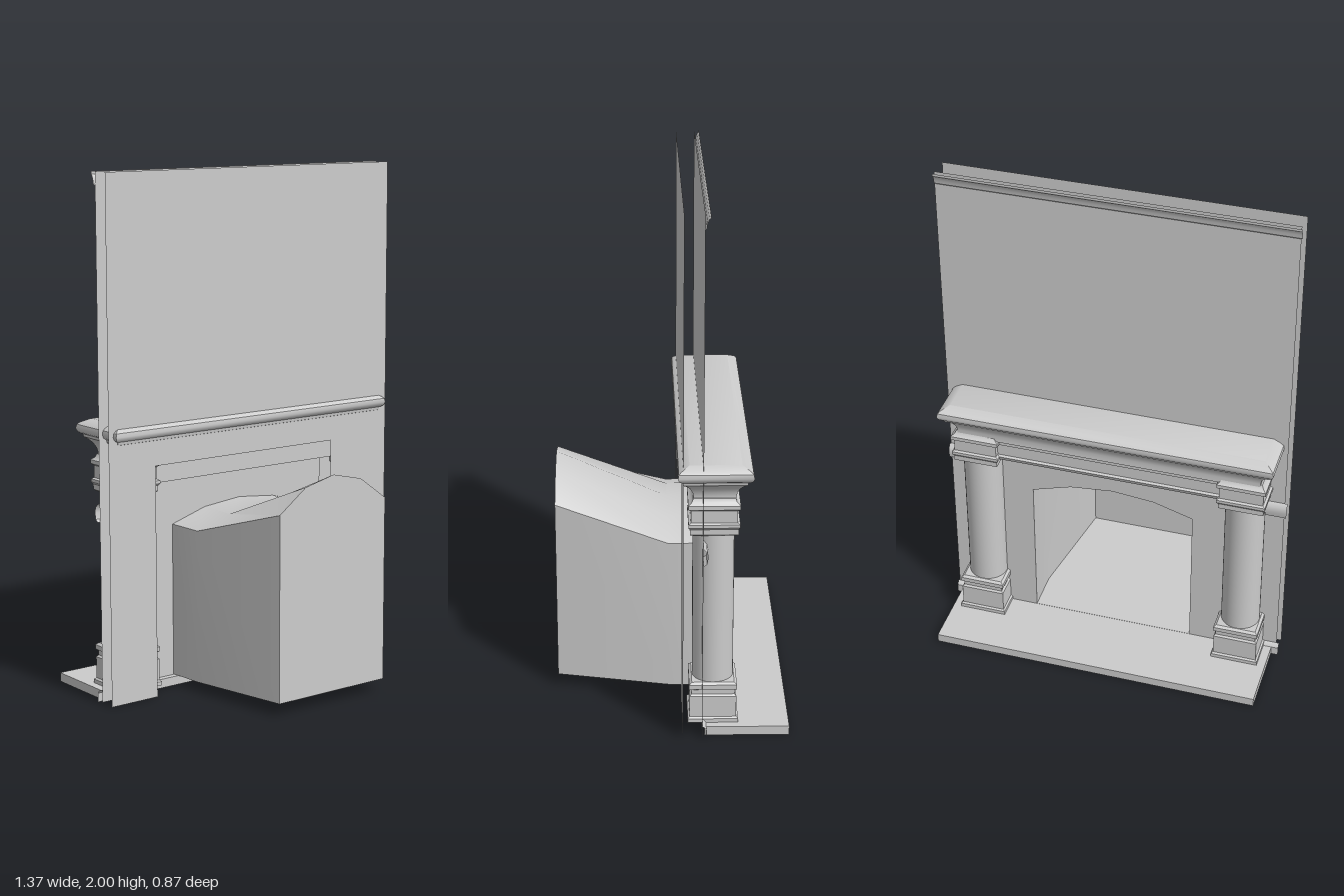
import * as THREE from 'three';
import { toCreasedNormals } from 'three/addons/utils/BufferGeometryUtils.js';

const mat = new THREE.MeshStandardMaterial({ color: 0xcccccc, side: THREE.DoubleSide });

// Rectangles stacked upwards, each level is [y, x0, x1, z0, z1], closed at both ends
function rectStack(levels) {
  const pos = [], index = [];
  for (const [y, x0, x1, z0, z1] of levels) pos.push(x0, y, z1, x1, y, z1, x1, y, z0, x0, y, z0);
  for (let i = 0; i < levels.length - 1; i++) {
    for (let k = 0; k < 4; k++) {
      const a = i * 4 + k, b = i * 4 + (k + 1) % 4;
      index.push(a, b, b + 4, a, b + 4, a + 4);
    }
  }
  const t = (levels.length - 1) * 4;
  index.push(0, 2, 1, 0, 3, 2, t, t + 1, t + 2, t, t + 2, t + 3);
  return creased(pos, index);
}

function creased(pos, index) {
  const g = new THREE.BufferGeometry();
  g.setAttribute('position', new THREE.Float32BufferAttribute(pos, 3));
  g.setIndex(index);
  return toCreasedNormals(g, 0.6);
}

// Square moulding around a centre: profile of [y, half width]
const squareMoulding = (profile, cx, cz) =>
  rectStack(profile.map(([y, r]) => [y, cx - r, cx + r, cz - r, cz + r]));

// Segmented arch outline, from the right foot over the crown to the left foot
function archOutline(x0, x1, floor, spring, crown) {
  const c = (x0 + x1) / 2, h = (x1 - x0) / 2, d = crown - spring;
  return [[x1, floor], [x1, spring], [c + h * 0.52, spring + d * 0.74], [c, crown],
    [c - h * 0.52, spring + d * 0.74], [x0, spring], [x0, floor]];
}

// Wall sheet with a doorway-like opening
function wallSheet(x0, x1) {
  const s = new THREE.Shape();
  [[x0, 0], [-0.47, 0], [-0.47, 0.9], [0.385, 0.9], [0.385, 0], [x1, 0], [x1, 2], [x0, 2]]
    .forEach(([x, y], i) => (i ? s.lineTo(x, y) : s.moveTo(x, y)));
  return new THREE.ShapeGeometry(s);
}

// Open strip of trim running along x; profile of [y, z]
function trimStrip(x0, x1, profile) {
  const pos = [], index = [];
  profile.forEach(([y, z], i) => {
    pos.push(x0, y, z, x1, y, z);
    const a = i * 2;
    if (i) index.push(a - 2, a, a - 1, a - 1, a, a + 1);
  });
  return creased(pos, index);
}

export function createModel() {
  const model = new THREE.Group();
  const add = (name, geometry, z = 0) => {
    const m = new THREE.Mesh(geometry, mat);
    m.name = name;
    m.position.z = z;
    model.add(m);
    return m;
  };

  // Two thin wall faces
  add('outerWall', wallSheet(-0.68, 0.675), -0.04);
  add('roomWall', wallSheet(-0.675, 0.68), -0.112);

  // Trim on the room side
  add('crownMoulding', trimStrip(-0.68, 0.68,
    [[1.95, -0.112], [1.955, -0.117], [1.97, -0.119], [1.985, -0.125], [1.99, -0.131], [2, -0.131]]));
  const rail = [[0.7, -0.112], [0.71, -0.125], [0.735, -0.13], [0.755, -0.126], [0.77, -0.112]];
  const skirting = [[0, -0.127], [0.035, -0.127], [0.045, -0.12], [0.05, -0.112]];
  for (const [a, b] of [[-0.685, -0.47], [0.47, 0.685]]) {
    add('chairRail', trimStrip(a, b, rail));
    add('skirtingBoard', trimStrip(a, b, skirting));
  }

  // Hearth slab
  add('hearth', rectStack([[0, -0.657, 0.657, -0.437, -0.12], [0.035, -0.657, 0.657, -0.437, -0.12]]));

  // Surround panel with arched opening
  const panel = new THREE.Shape([[-0.47, 0.035], [0.47, 0.035], [0.47, 0.84], [-0.47, 0.84]]
    .map(p => new THREE.Vector2(...p)));
  panel.holes.push(new THREE.Path(archOutline(-0.32, 0.33, 0.036, 0.637, 0.702)
    .map(p => new THREE.Vector2(...p))));
  add('surroundPanel', new THREE.ShapeGeometry(panel), -0.145);

  // Firebox: arched sections, level at the mouth and then rising and narrowing
  const sections = [
    [-0.145, archOutline(-0.32, 0.33, 0.036, 0.637, 0.702)],
    [0.01, archOutline(-0.315, 0.33, 0.04, 0.637, 0.698)],
    [0.437, archOutline(-0.255, 0.255, 0.05, 0.765, 0.885)],
  ];
  const pos = [], index = [], n = 7;
  sections.forEach(([z, pts], s) => {
    pts.forEach(([x, y]) => pos.push(x, y, z));
    if (!s) return;
    for (let k = 0; k < n; k++) {
      const a = (s - 1) * n + k, b = (s - 1) * n + (k + 1) % n;
      index.push(a, b + n, b, a, a + n, b + n);
    }
  });
  for (let k = 1; k < n - 1; k++) index.push(2 * n, 2 * n + k, 2 * n + k + 1);
  add('firebox', creased(pos, index));

  // Columns with plinths and capitals
  const cz = -0.153;
  for (const cx of [-0.53, 0.53]) {
    add('columnPlinth', squareMoulding([[0.035, 0.094], [0.05, 0.094], [0.056, 0.087], [0.14, 0.087],
      [0.147, 0.08], [0.165, 0.08], [0.17, 0.089], [0.188, 0.089], [0.196, 0.079]], cx, cz));
    const shaft = add('columnShaft', new THREE.CylinderGeometry(0.077, 0.077, 0.61, 32, 1, true), cz);
    shaft.position.set(cx, 0.495, cz);
    add('columnCapital', squareMoulding([[0.79, 0.078], [0.797, 0.088], [0.818, 0.088], [0.826, 0.094],
      [0.838, 0.094], [0.843, 0.085], [0.89, 0.085], [0.897, 0.095], [0.912, 0.095], [0.922, 0.082],
      [0.935, 0.077]], cx, cz));
  }

  // Lintel between the columns, set back from the capitals
  add('lintel', rectStack([[0.822, -0.112], [0.838, -0.118], [0.843, -0.108], [0.89, -0.108],
    [0.897, -0.118], [0.912, -0.118], [0.925, -0.105]]
    .map(([y, z]) => [y, -0.46, 0.46, z - 0.108, -0.09])));

  // Coved frieze flaring out to the shelf
  add('frieze', rectStack([[0.915, 0.079], [0.94, 0.077], [0.958, 0.081], [0.975, 0.09],
    [0.988, 0.102], [0.998, 0.116], [1.012, 0.118]]
    .map(([y, r]) => [y, -0.523 - r, 0.523 + r, -0.155 - r, -0.155 + r])));

  // Mantel shelf with rounded edge and sloping top
  add('mantelShelf', rectStack([[1.01, 0.122], [1.017, 0.132], [1.03, 0.137], [1.045, 0.134],
    [1.053, 0.125], [1.068, 0.095]]
    .map(([y, r]) => [y, -0.522 - r, 0.522 + r, -0.157 - r, -0.157 + r])));

  return model;
}
